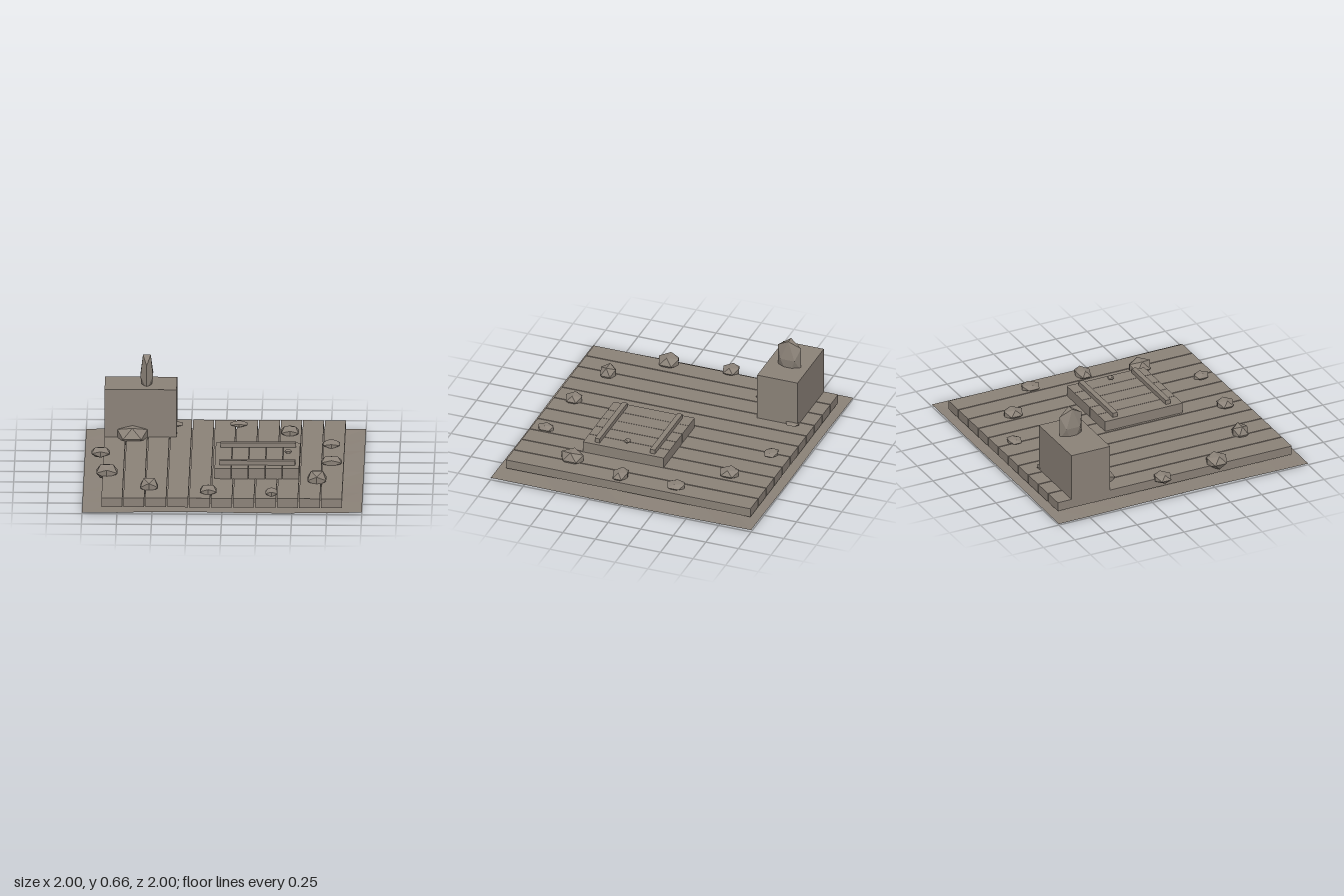
import * as THREE from 'three';

export function createModel() {
  const model = new THREE.Group();
  const stone = new THREE.MeshStandardMaterial({ color: 0x8c8379, flatShading: true });
  stone.name = 'weathered grey brown';
  const ground = new THREE.MeshStandardMaterial({ color: 0x8c8379, flatShading: true, side: THREE.DoubleSide });
  ground.name = 'weathered ground';

  const add = (name, geo, x, y, z, mat = stone) => {
    const m = new THREE.Mesh(geo, mat);
    m.name = name;
    m.position.set(x, y, z);
    model.add(m);
    return m;
  };
  // Box given by its extents
  const box = (name, x0, x1, y0, y1, z0, z1) =>
    add(name, new THREE.BoxGeometry(x1 - x0, y1 - y0, z1 - z0), (x0 + x1) / 2, (y0 + y1) / 2, (z0 + z1) / 2);
  // Faceted rock given by its half extents
  const rock = (name, x, y, z, hx, hy, hz, turn = 0) => {
    const m = add(name, new THREE.IcosahedronGeometry(1, 0), x, y, z);
    m.scale.set(hx / 0.8507, hy / 0.8507, hz / 0.8507);
    m.rotation.y = turn;
    return m;
  };

  // Slightly uneven ground sheet
  const sheet = new THREE.PlaneGeometry(2, 2, 8, 8).rotateX(-Math.PI / 2);
  const p = sheet.attributes.position;
  for (let i = 0; i < p.count; i++) {
    const x = p.getX(i), z = p.getZ(i);
    const edge = Math.max(Math.abs(x), Math.abs(z)) > 0.99;
    p.setY(i, edge ? 0.016 + 0.004 * Math.sin(5 * x + 3 * z) : 0.012 + 0.01 * Math.sin(7 * x + 2) * Math.cos(6 * z + 1));
  }
  sheet.computeVertexNormals();
  const low = Math.min(...Array.from({ length: p.count }, (_, i) => p.getY(i)));
  add('ground', sheet, 0, -low, 0, ground);

  // Deck planks
  for (let i = 0; i < 11; i++) {
    const x = -0.862 + i * 0.157;
    box('deckPlank', x, x + 0.149, 0.032, 0.1, -0.938, 0.938);
  }

  // Raised hatch with two cross bars and a small knob
  for (let i = 0; i < 5; i++) {
    const x = -0.06 + i * 0.1215;
    box('hatchPlank', x, x + 0.118, 0.098, 0.178, -0.15, 0.47);
  }
  for (const z of [-0.052, 0.372]) box('hatchBar', -0.027, 0.515, 0.178, 0.211, z - 0.019, z + 0.019);
  rock('hatchKnob', 0.462, 0.209, 0.16, 0.026, 0.014, 0.021);

  // Pedestal block with a standing stone
  box('pedestal', -0.862, -0.347, 0.09, 0.455, -0.828, -0.518);
  rock('standingStone', -0.562, 0.52, -0.683, 0.045, 0.145, 0.088);

  // Scattered rocks: x, z, half width, half depth, top height, turn
  const rocks = [
    [-0.345, -0.79, 0.04, 0.05, 0.122, 0],
    [0.095, -0.8, 0.06, 0.05, 0.132, 0],
    [0.462, -0.622, 0.063, 0.07, 0.152, 0],
    [0.763, -0.33, 0.06, 0.067, 0.14, 0],
    [0.77, 0.092, 0.074, 0.053, 0.152, 0],
    [0.672, 0.5, 0.067, 0.083, 0.172, 0],
    [0.352, 0.83, 0.043, 0.057, 0.142, 0],
    [-0.1, 0.792, 0.06, 0.06, 0.152, 0],
    [-0.525, 0.695, 0.063, 0.057, 0.172, 0],
    [-0.832, 0.35, 0.075, 0.075, 0.165, 0],
    [-0.883, -0.108, 0.066, 0.06, 0.148, 0],
    [-0.663, -0.51, 0.1, 0.107, 0.186, Math.PI / 2],
  ];
  for (const [x, z, hx, hz, top, turn] of rocks) rock('rock', x, 0.114, z, hx, top - 0.114, hz, turn);

  return model;
}
